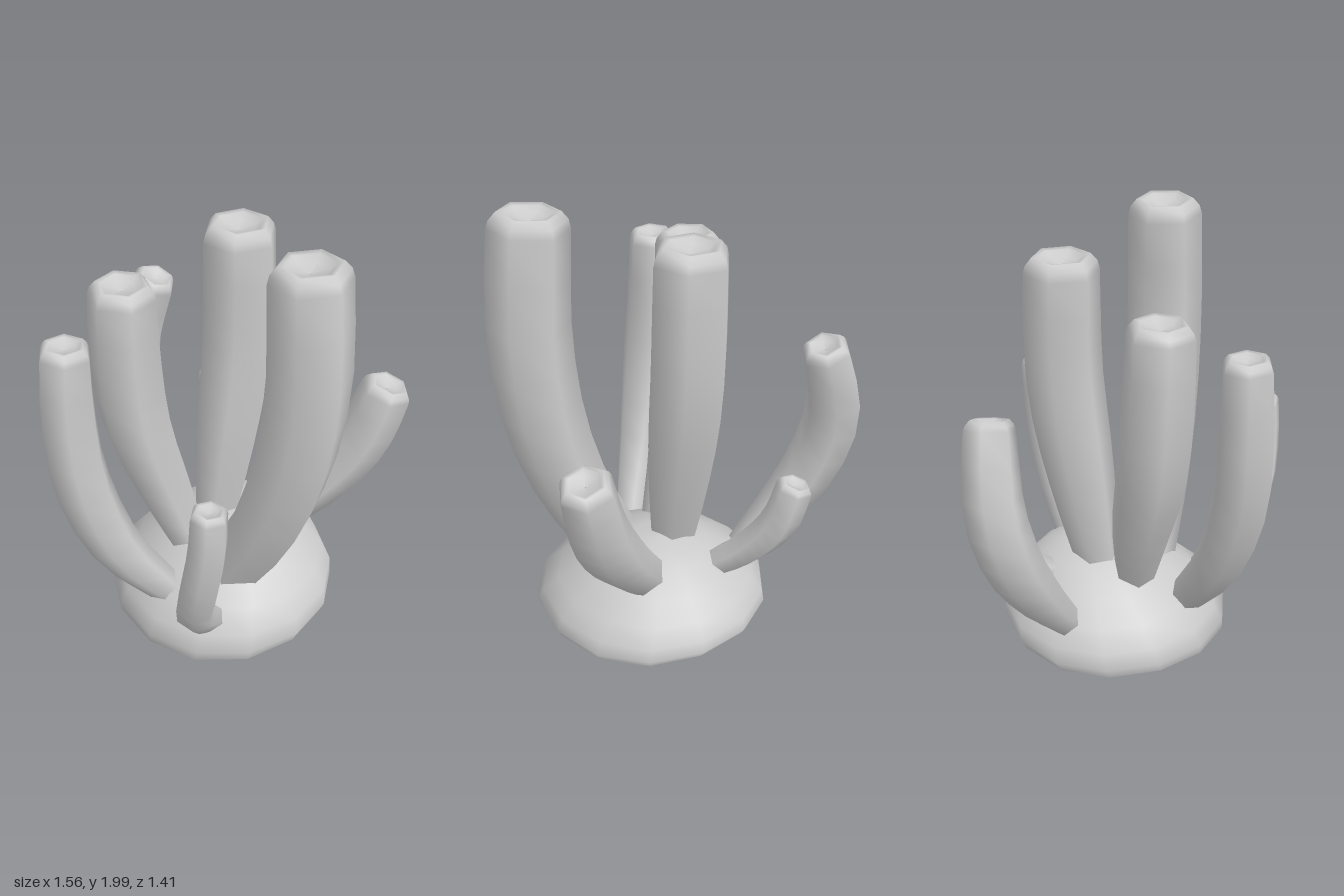
import * as THREE from 'three';

const SIDES = 6;
const material = new THREE.MeshStandardMaterial({ color: 0xcccccc, side: THREE.DoubleSide });

// Each tube: name, base radius, widest radius, tip radius, twist of the hexagon, centre line
const TUBES = [
  ['tallTube', 0.14, 0.178, 0.165, -0.25, [[0.25, 0.26, 0.04], [0.425, 0.6, 0.04], [0.555, 1.0, 0.035], [0.607, 1.45, 0.03], [0.575, 1.99, 0.03]]],
  ['backTube', 0.1, 0.175, 0.165, 0, [[0.03, 0.38, -0.14], [0.03, 0.8, -0.21], [0.03, 1.3, -0.28], [0.02, 1.87, -0.28]]],
  ['middleTube', 0.085, 0.16, 0.145, 0.5, [[0.01, 0.3, 0.05], [-0.11, 0.65, 0.11], [-0.19, 1.0, 0.18], [-0.215, 1.4, 0.21], [-0.21, 1.71, 0.215]]],
  ['frontRightTube', 0.075, 0.13, 0.11, 0.25, [[0.075, 0.17, 0.27], [-0.07, 0.5, 0.46], [-0.165, 0.9, 0.565], [-0.2, 1.25, 0.58], [-0.2, 1.595, 0.57]]],
  ['frontLeftTube', 0.065, 0.09, 0.08, 0, [[0.33, 0.17, 0.29], [0.385, 0.38, 0.475], [0.465, 0.65, 0.545], [0.51, 0.9, 0.55], [0.51, 1.1, 0.54]]],
  ['rightTube', 0.072, 0.13, 0.105, 0.1, [[-0.3, 0.22, -0.2], [-0.47, 0.45, -0.255], [-0.61, 0.72, -0.315], [-0.655, 0.98, -0.36], [-0.61, 1.2, -0.385], [-0.555, 1.36, -0.4]]],
  ['backRightTube', 0.065, 0.085, 0.08, 0.2, [[-0.1, 0.33, -0.36], [-0.2, 0.45, -0.46], [-0.29, 0.62, -0.55], [-0.345, 0.82, -0.575]]],
  ['backLeftTube', 0.09, 0.13, 0.115, 0.2, [[0.26, 0.35, -0.33], [0.425, 0.57, -0.455], [0.555, 0.82, -0.55], [0.635, 1.135, -0.61]]],
];

// Rim and shallow cup at the tip: [radius scale, distance along the axis in tip radii]
const CUP = [[0.95, -0.2], [0.78, 0], [0.62, -0.03], [0.46, -0.17], [0.02, -0.25]];

// Sweep a hexagonal section along a curve, finishing with a sunken cup
function tubeGeometry(rBase, rMid, rTip, twist, points) {
  const path = points.map((p) => new THREE.Vector3(...p));
  // Push the root through the mound's skin
  const root = path[0].clone().sub(path[1]).setLength(0.75 * rBase).add(path[0]);
  const curve = new THREE.CatmullRomCurve3([root, ...path]);
  const positions = [];
  const index = [];
  let rings = 0;

  const addRing = (centre, tangent, radius) => {
    const u = new THREE.Vector3(1, 0, 0).addScaledVector(tangent, -tangent.x).normalize();
    const v = new THREE.Vector3().crossVectors(tangent, u);
    for (let j = 0; j < SIDES; j++) {
      const a = (j / SIDES) * Math.PI * 2 + twist;
      const p = centre.clone()
        .addScaledVector(u, radius * Math.cos(a))
        .addScaledVector(v, radius * Math.sin(a));
      positions.push(p.x, p.y, p.z);
    }
    rings++;
  };

  // Body, swelling from the root and narrowing slightly at the tip
  const steps = 9;
  const last = 1 - (0.42 * rTip) / curve.getLength();
  for (let i = 0; i <= steps; i++) {
    const t = (i / steps) * last;
    const radius = t < 0.6
      ? THREE.MathUtils.lerp(rBase, rMid, Math.sin((t / 0.6) * Math.PI / 2))
      : THREE.MathUtils.lerp(rMid, rTip, ((t - 0.6) / 0.4) ** 2);
    addRing(curve.getPointAt(t), curve.getTangentAt(t), radius);
  }
  const tip = curve.getPointAt(1);
  const axis = curve.getTangentAt(1);
  for (const [scale, offset] of CUP) {
    addRing(tip.clone().addScaledVector(axis, offset * rTip), axis, rTip * scale);
  }

  for (let i = 0; i < rings - 1; i++) {
    for (let j = 0; j < SIDES; j++) {
      const k = (j + 1) % SIDES;
      const a = i * SIDES + j, b = i * SIDES + k;
      index.push(a, b, a + SIDES, b, b + SIDES, a + SIDES);
    }
  }
  const geometry = new THREE.BufferGeometry();
  geometry.setAttribute('position', new THREE.Float32BufferAttribute(positions, 3));
  geometry.setIndex(index);
  geometry.computeVertexNormals();
  return geometry;
}

// Hollow mound, open underneath, leaning back, with an uneven lower edge
function moundGeometry() {
  const profile = [[0.53, 0.016], [0.545, 0.06], [0.525, 0.13], [0.46, 0.215], [0.355, 0.305], [0.24, 0.385], [0.12, 0.43], [0, 0.44]]
    .map(([r, y]) => new THREE.Vector2(r, y));
  const geometry = new THREE.LatheGeometry(profile, 14);
  const pos = geometry.attributes.position;
  for (let i = 0; i < pos.count; i++) {
    const x = pos.getX(i), y = pos.getY(i), z = pos.getZ(i);
    const angle = Math.atan2(z, x);
    const low = Math.max(0, 1 - y / 0.2);
    // The skirt spreads a little towards the front left
    const spread = 1 + 0.05 * low * Math.max(0, Math.cos(angle - Math.PI / 4)) ** 4;
    pos.setXYZ(i,
      x * spread + 0.11 + 0.03 * y,
      y + low * 0.012 * Math.sin(3 * angle + 0.6),
      z * spread - 0.06 - 0.3 * y);
  }
  return geometry;
}

export function createModel() {
  const group = new THREE.Group();
  group.name = 'tubeCoral';
  const add = (name, geometry) => {
    const mesh = new THREE.Mesh(geometry, material);
    mesh.name = name;
    group.add(mesh);
  };
  add('mound', moundGeometry());
  for (const [name, ...shape] of TUBES) add(name, tubeGeometry(...shape));
  return group;
}
